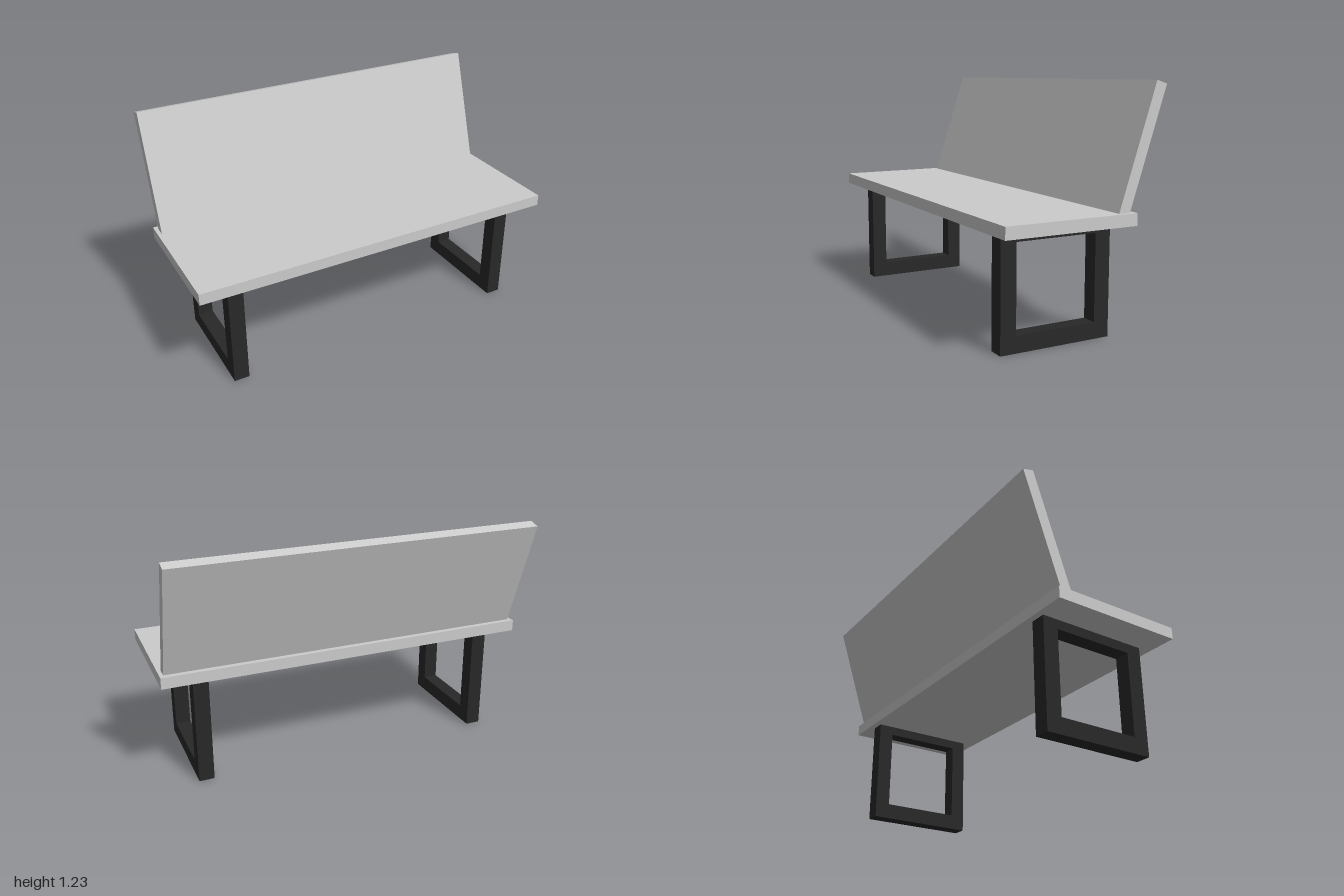
import * as THREE from 'three';

const grey = new THREE.MeshStandardMaterial({ color: 0xcccccc });
const dark = new THREE.MeshStandardMaterial({ color: 0x282828 });

// Extrude a side outline of [z, y] points along x, centred on x = 0
function sideExtrude(points, width, hole) {
  const toVectors = (list) => list.map(([z, y]) => new THREE.Vector2(-z, y));
  const shape = new THREE.Shape(toVectors(points));
  if (hole) shape.holes.push(new THREE.Path(toVectors(hole)));
  const geometry = new THREE.ExtrudeGeometry(shape, { depth: width, bevelEnabled: false });
  geometry.translate(0, 0, -width / 2);
  geometry.rotateY(Math.PI / 2);
  return geometry;
}

// Rectangle outline in the side plane
const rect = (z0, z1, y0, y1) => [[z0, y0], [z1, y0], [z1, y1], [z0, y1]];

function addPart(group, name, geometry, material, x = 0) {
  const mesh = new THREE.Mesh(geometry, material);
  mesh.name = name;
  mesh.position.x = x;
  group.add(mesh);
}

export function createModel() {
  const bench = new THREE.Group();
  bench.name = 'bench';

  // Flat seat plank
  addPart(bench, 'seat', sideExtrude(rect(0.43, -0.265, 0.567, 0.627), 2), grey);

  // Leaning backrest, its foot sunk slightly into the seat
  const back = [[-0.169, 0.607], [-0.23, 0.607], [-0.43, 1.211], [-0.373, 1.228]];
  addPart(bench, 'backrest', sideExtrude(back, 1.96), grey);

  // Rectangular loop legs
  const loop = sideExtrude(rect(0.362, -0.232, 0, 0.567), 0.08, rect(0.28, -0.15, 0.083, 0.517));
  addPart(bench, 'leftLegFrame', loop, dark, 0.8);
  addPart(bench, 'rightLegFrame', loop, dark, -0.8);

  return bench;
}
